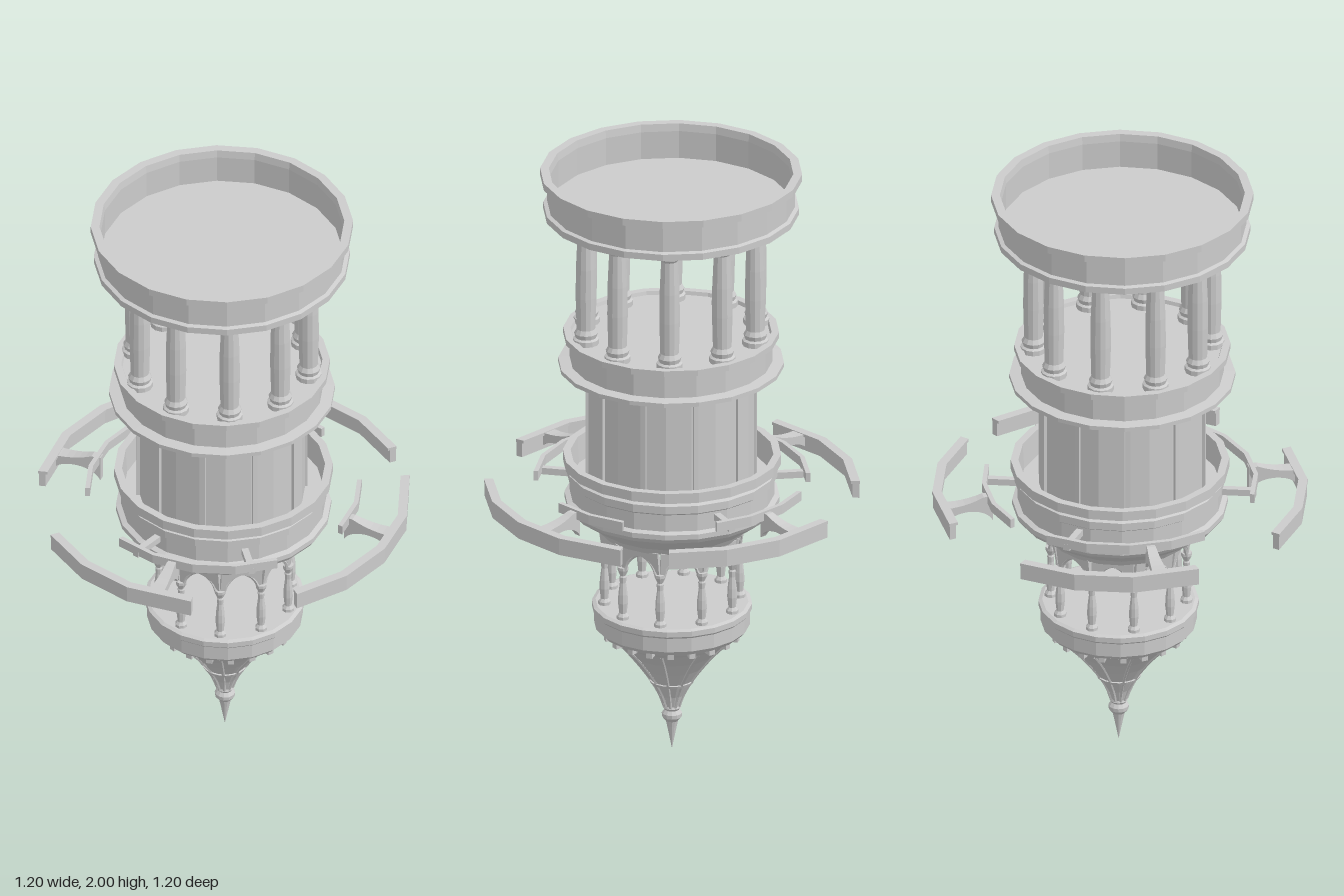
import * as THREE from 'three';

const grey = new THREE.MeshStandardMaterial({ color: 0xcccccc, flatShading: true, side: THREE.DoubleSide });
const rad = THREE.MathUtils.degToRad;

function mesh(name, geometry, parent) {
  const m = new THREE.Mesh(geometry, grey);
  m.name = name;
  parent.add(m);
  return m;
}

// Turned part from [radius, height] pairs, listed upward along the outside
function turned(name, points, parent, sides = 20) {
  const m = mesh(name, new THREE.LatheGeometry(points.map(p => new THREE.Vector2(...p)), sides), parent);
  m.rotation.y = sides === 20 ? rad(15.3) : 0;
  return m;
}

// Places something around the axis; degrees run from the front (+z) towards +x
function around(count, offset, make) {
  for (let i = 0; i < count; i++) make(rad(offset + (i * 360) / count), i);
}

// Flat faceted strip curving round the tower, with corners every 18 degrees
function arcStrip(name, from, to, rIn, rOut, y0, y1, parent) {
  const angles = [from];
  for (let a = Math.floor(from / 18) * 18 + 18; a < to - 5; a += 18) if (a > from + 5) angles.push(a);
  angles.push(to);
  const ring = (r, list) => list.map(a => new THREE.Vector2(r * Math.sin(rad(a)), -r * Math.cos(rad(a))));
  const shape = new THREE.Shape([...ring(rOut, angles), ...ring(rIn, [...angles].reverse())]);
  const geo = new THREE.ExtrudeGeometry(shape, { depth: y1 - y0, bevelEnabled: false });
  geo.rotateX(-Math.PI / 2).translate(0, y0, 0);
  return mesh(name, geo, parent);
}

export function createModel() {
  const model = new THREE.Group();
  model.name = 'hangingTower';
  const upper = new THREE.Group();
  upper.name = 'upperTower';
  upper.position.set(-0.007, 0, 0.003);
  const lower = new THREE.Group();
  lower.name = 'lowerTower';
  lower.position.set(0.005, 0, 0);
  model.add(upper, lower);

  // Open drum at the top
  turned('topDrum', [[0, 1.86], [0.41, 1.86], [0.41, 1.882], [0.397, 1.886], [0.397, 1.972], [0.42, 1.976],
    [0.42, 2], [0.392, 2], [0.388, 1.975], [0.388, 1.882], [0, 1.882]], upper);

  // Ten columns carrying the drum
  const column = [[0, 1.435], [0.042, 1.435], [0.042, 1.455], [0.034, 1.46], [0.038, 1.475], [0.03, 1.49],
    [0.033, 1.6], [0.032, 1.7], [0.027, 1.81], [0.034, 1.82], [0.028, 1.83], [0.037, 1.85], [0.037, 1.865], [0, 1.865]];
  around(10, 18, a => {
    turned('upperColumn', column, upper, 12).position.set(0.285 * Math.sin(a), 0, 0.285 * Math.cos(a));
  });

  // Platform below the columns
  turned('middlePlatform', [[0, 1.33], [0.362, 1.33], [0.362, 1.344], [0.325, 1.348], [0.325, 1.425], [0.346, 1.43],
    [0.346, 1.45], [0.322, 1.45], [0.318, 1.438], [0, 1.438]], upper);

  // Shaft with narrow upright ribs
  turned('shaft', [[0.266, 0.92], [0.266, 1.335]], upper);
  around(10, 0, a => {
    const rib = mesh('shaftRib', new THREE.BoxGeometry(0.016, 0.4, 0.016), upper);
    rib.position.set(0.266 * Math.sin(a), 1.13, 0.266 * Math.cos(a));
    rib.rotation.y = a;
  });

  // Balcony with an open trough and a sloping underside
  turned('balcony', [[0, 0.768], [0.235, 0.768], [0.25, 0.79], [0.335, 0.85], [0.345, 0.865], [0.345, 0.882],
    [0.328, 0.888], [0.328, 0.945], [0.338, 0.952], [0.338, 0.978], [0.325, 0.983], [0.325, 0.99],
    [0.35, 0.995], [0.35, 1.028], [0.325, 1.028], [0.32, 0.94], [0, 0.94]], model);

  // Outer rail pieces, pinwheeling around the balcony
  const outer = [[0, 75], [90, 147], [180, 237], [270, 327]];
  outer.forEach(([f, t]) => {
    arcStrip('outerRail', f, t, 0.578, 0.6, 0.872, 0.925, model);
    arcStrip('outerRailCap', f, t, 0.572, 0.602, 0.92, 0.93, model);
  });

  // Inner rail pieces with pegs into the balcony
  const inner = [[36, 70], [110, 160], [180, 250], [288, 360]];
  inner.forEach(([f, t]) => arcStrip('innerRail', f, t, 0.428, 0.443, 0.925, 0.957, model));
  [117, 189, 297, 349].forEach(d => {
    const peg = mesh('railPeg', new THREE.BoxGeometry(0.022, 0.022, 0.11), model);
    peg.position.set(0.383 * Math.sin(rad(d)), 0.928, 0.383 * Math.cos(rad(d)));
    peg.rotation.y = rad(d);
  });

  // Arched brackets joining the inner and outer rails
  const arch = new THREE.Shape();
  arch.moveTo(0.42, 0.95);
  arch.lineTo(0.45, 0.95);
  arch.quadraticCurveTo(0.51, 0.925, 0.58, 0.928);
  arch.lineTo(0.58, 0.872);
  arch.quadraticCurveTo(0.56, 0.905, 0.5, 0.905);
  arch.quadraticCurveTo(0.44, 0.9, 0.42, 0.862);
  arch.closePath();
  const bracket = new THREE.ExtrudeGeometry(arch, { depth: 0.04, bevelEnabled: false, curveSegments: 6 });
  bracket.translate(0, 0, -0.02);
  // narrow towards the tower
  const bp = bracket.attributes.position;
  for (let i = 0; i < bp.count; i++) bp.setZ(i, bp.getZ(i) * (0.6 + (bp.getX(i) - 0.42) * 4));
  bracket.rotateY(-Math.PI / 2);
  around(4, 45, a => { mesh('railBracket', bracket, model).rotation.y = a; });

  // Arcade: slender columns and arches below the balcony
  const R = 0.218;
  const post = [[0, 0.51], [0.02, 0.51], [0.02, 0.525], [0.012, 0.535], [0.016, 0.57], [0.015, 0.6], [0.01, 0.64],
    [0.012, 0.66], [0.009, 0.665], [0.018, 0.685], [0.018, 0.695], [0, 0.695]];
  around(10, 9, a => {
    turned('arcadeColumn', post, lower, 8).position.set(R * Math.sin(a), 0, R * Math.cos(a));
  });
  const half = R * Math.sin(rad(18));
  const panel = new THREE.Shape();
  panel.moveTo(-half, 0.69);
  panel.lineTo(-half + 0.01, 0.69);
  panel.quadraticCurveTo(-half + 0.012, 0.735, 0, 0.752);
  panel.quadraticCurveTo(half - 0.012, 0.735, half - 0.01, 0.69);
  panel.lineTo(half, 0.69);
  panel.lineTo(half, 0.772);
  panel.lineTo(-half, 0.772);
  const panelGeo = new THREE.ExtrudeGeometry(panel, { depth: 0.014, bevelEnabled: false, curveSegments: 8 });
  panelGeo.translate(0, 0, R * Math.cos(rad(18)) - 0.007);
  // lean outward to meet the balcony
  const pp = panelGeo.attributes.position;
  for (let i = 0; i < pp.count; i++) pp.setZ(i, pp.getZ(i) + (pp.getY(i) - 0.69) * 0.15);
  const mould = new THREE.CatmullRomCurve3([[-1, 0.685], [-0.82, 0.715], [-0.45, 0.74], [0, 0.752],
    [0.45, 0.74], [0.82, 0.715], [1, 0.685]].map(([x, y]) =>
    new THREE.Vector3(x * (half - 0.01), y, R * Math.cos(rad(18)) + 0.006)));
  const mouldGeo = new THREE.TubeGeometry(mould, 14, 0.006, 5);
  around(10, 27, a => {
    mesh('arcadeArch', panelGeo, lower).rotation.y = a;
    mesh('archMoulding', mouldGeo, lower).rotation.y = a;
  });

  // Round floor under the arcade
  turned('arcadeFloor', [[0, 0.40], [0.195, 0.40], [0.21, 0.415], [0.235, 0.422], [0.25, 0.438], [0.25, 0.485],
    [0.257, 0.492], [0.257, 0.51], [0.245, 0.515], [0, 0.515]], lower);
  around(20, 0, a => {
    const b = mesh('floorBlock', new THREE.BoxGeometry(0.02, 0.022, 0.035), lower);
    b.position.set(0.207 * Math.sin(a), 0.412, 0.207 * Math.cos(a));
    b.rotation.y = a;
  });

  // Hanging spire with ribs and a turned tip
  const cone = [[0.026, 0.15], [0.04, 0.19], [0.07, 0.245], [0.105, 0.295], [0.145, 0.345], [0.192, 0.395]];
  turned('spire', [...cone, [0.205, 0.405]], lower);
  const ribPath = new THREE.CatmullRomCurve3(cone.map(([r, y]) => new THREE.Vector3(0, y, r)));
  const ribGeo = new THREE.TubeGeometry(ribPath, 12, 0.005, 5);
  around(10, 9, a => { mesh('spireRib', ribGeo, lower).rotation.y = a; });
  turned('spireBand', [[0.06, 0.232], [0.07, 0.234], [0.075, 0.244], [0.068, 0.246]], lower);
  turned('spireTip', [[0, 0], [0.007, 0.035], [0.016, 0.08], [0.02, 0.098], [0.032, 0.112], [0.033, 0.125],
    [0.024, 0.137], [0.03, 0.145], [0.026, 0.155], [0, 0.155]], lower, 12);

  return model;
}
